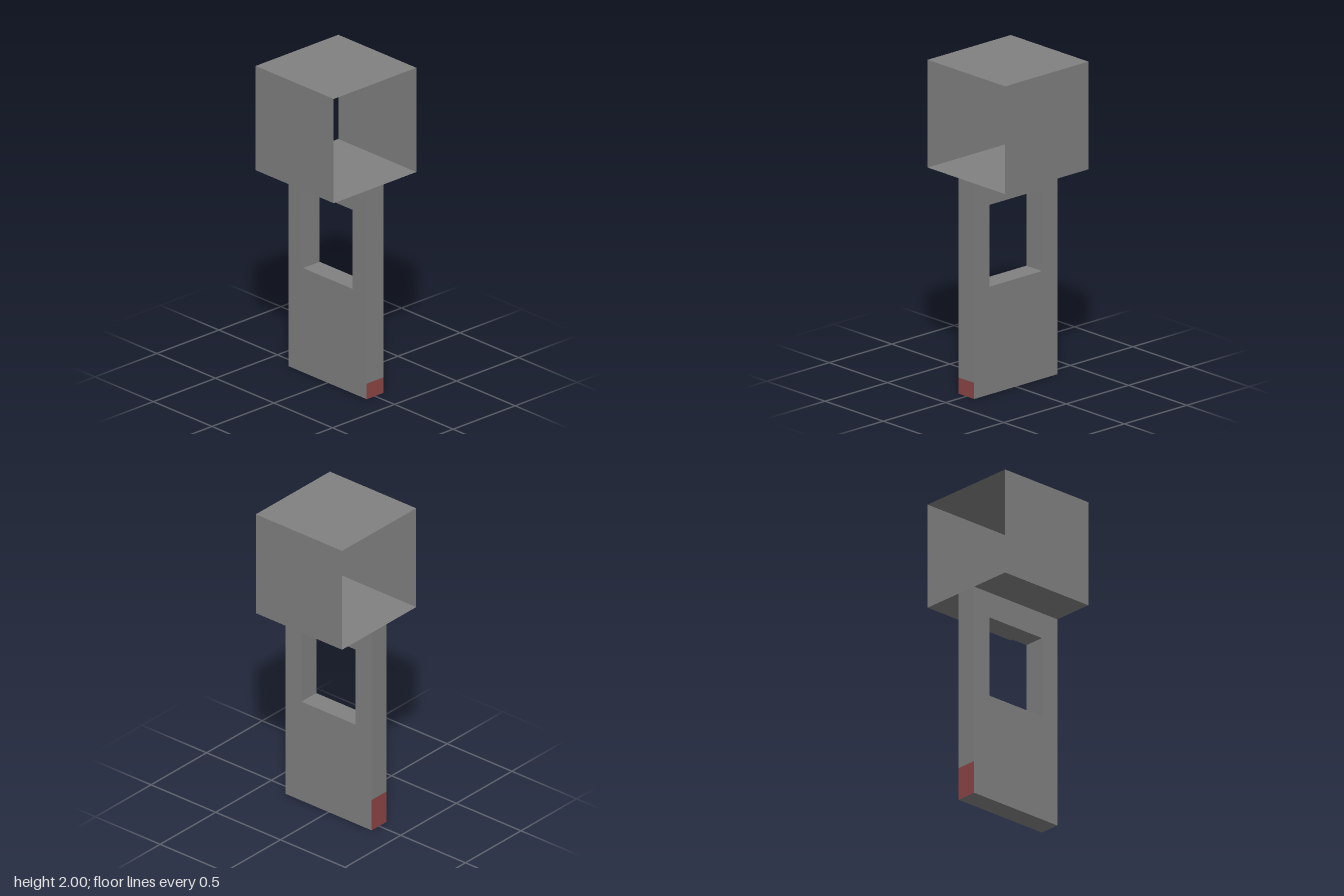
import * as THREE from 'three';

const HALF = 1 / 3;          // half width of panel and sleeve
const PANEL_TOP = 4 / 3;
const DEPTH = 0.134;         // panel thickness
const MARK_LEFT = 0.1;       // height of the red mark on the +x edge
const MARK_RIGHT = 0.205;    // height of the red mark on the -x edge

export function createModel() {
  const grey = new THREE.MeshStandardMaterial({ color: 0x808080, side: THREE.DoubleSide });
  grey.name = 'grey';
  const red = new THREE.MeshStandardMaterial({ color: 0x8d4545 });
  red.name = 'dull red';

  const model = new THREE.Group();
  model.name = 'windowPost';

  // Upright panel with a rectangular window; the outline is split where the red marks end
  const outline = new THREE.Shape([
    [-HALF, 0], [HALF, 0], [HALF, MARK_LEFT], [HALF, PANEL_TOP],
    [-HALF, PANEL_TOP], [-HALF, MARK_RIGHT],
  ].map(([x, y]) => new THREE.Vector2(x, y)));
  outline.holes.push(new THREE.Path([
    [-0.21, 0.667], [-0.21, 1.173], [0.21, 1.173], [0.21, 0.667],
  ].map(([x, y]) => new THREE.Vector2(x, y))));
  const geometry = new THREE.ExtrudeGeometry(outline, { depth: DEPTH, bevelEnabled: false });
  geometry.translate(0, 0, -DEPTH / 2);

  // Give the low faces of the two narrow edges the red material
  const pos = geometry.attributes.position;
  const normal = geometry.attributes.normal;
  geometry.clearGroups();
  for (let i = 0; i < pos.count; i += 3) {
    const top = Math.max(pos.getY(i), pos.getY(i + 1), pos.getY(i + 2));
    const nx = normal.getX(i);
    const marked = (nx > 0.9 && top < MARK_LEFT + 0.001) || (nx < -0.9 && top < MARK_RIGHT + 0.001);
    geometry.addGroup(i, 3, marked ? 1 : 0);
  }
  const panel = new THREE.Mesh(geometry, [grey, red]);
  panel.name = 'panel';
  model.add(panel);

  // Hollow square sleeve on top, open at both x ends
  const sleeve = new THREE.Group();
  sleeve.name = 'sleeve';
  sleeve.position.y = PANEL_TOP + HALF;
  ['sleeveFront', 'sleeveFloor', 'sleeveBack', 'sleeveTop'].forEach((name, i) => {
    const wall = new THREE.PlaneGeometry(2 * HALF, 2 * HALF);
    wall.translate(0, 0, HALF).rotateX(i * Math.PI / 2);
    const mesh = new THREE.Mesh(wall, grey);
    mesh.name = name;
    sleeve.add(mesh);
  });
  model.add(sleeve);

  return model;
}
